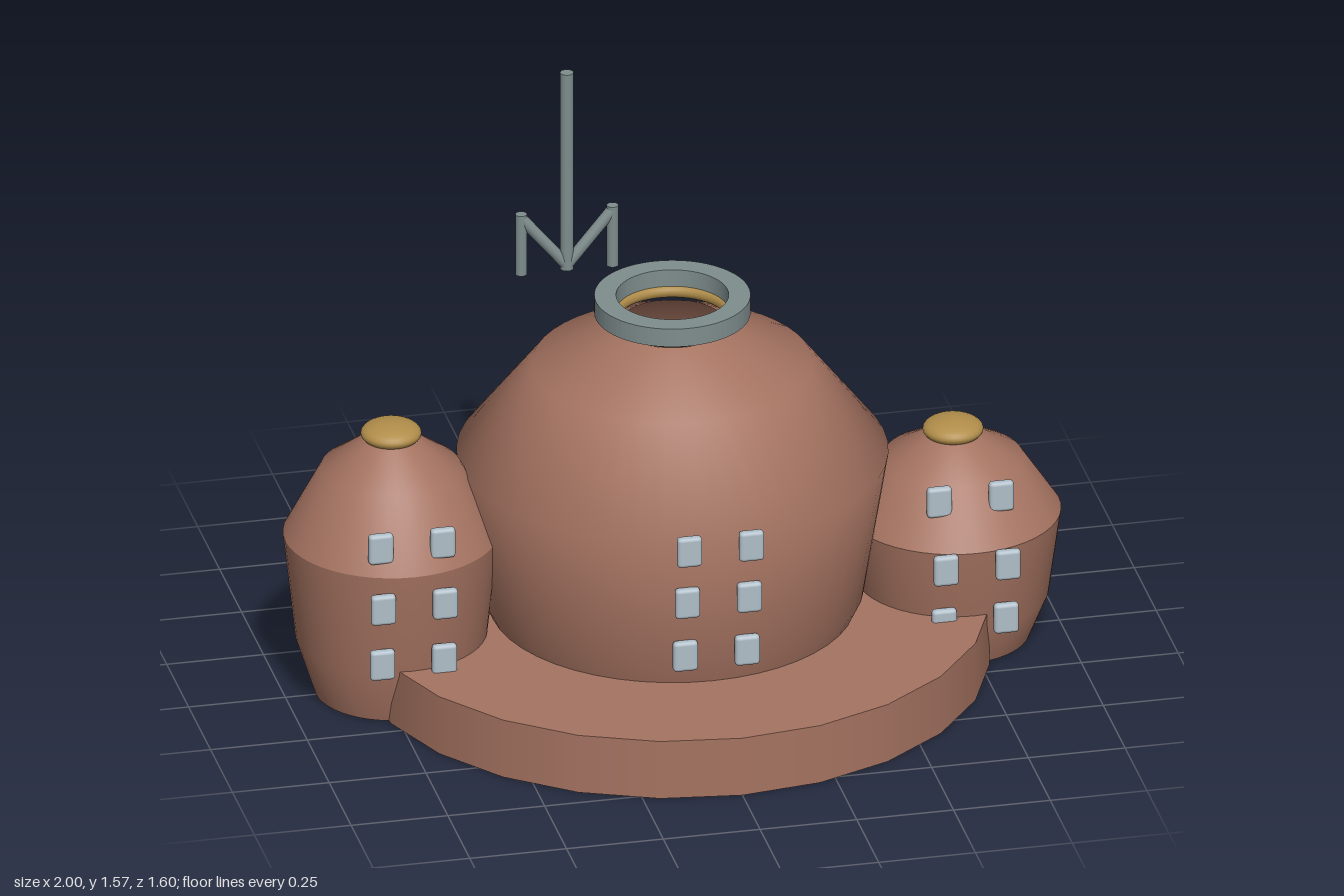
import * as THREE from 'three';
import { RoundedBoxGeometry } from 'three/addons/geometries/RoundedBoxGeometry.js';

const mat = (name, color) => {
  const m = new THREE.MeshStandardMaterial({ color });
  m.name = name;
  return m;
};

export function createModel() {
  const model = new THREE.Group();
  model.name = 'domedBuilding';

  const clay = mat('clay', 0xa57361);
  clay.side = THREE.DoubleSide; // the main dome is an open shell
  const steel = mat('steel', 0x7f8d8d);
  const brass = mat('brass', 0xb08d4a);
  const glass = mat('glass', 0xb0bec8);
  const dark = mat('darkFloor', 0x263232);

  const add = (parent, name, geometry, material, x = 0, y = 0, z = 0) => {
    const mesh = new THREE.Mesh(geometry, material);
    mesh.name = name;
    mesh.position.set(x, y, z);
    parent.add(mesh);
    return mesh;
  };

  // Shared pot-like profile: radius and height as fractions
  const profile = [[0.71, 0], [0.885, 0.213], [1, 0.626], [0.65, 0.886], [0.25, 1]];
  const lathe = (rows, r, h) =>
    new THREE.LatheGeometry(rows.map(([a, b]) => new THREE.Vector2(a * r, b * h)), 48);

  // Two columns of windows; rows are [y, z]
  const pane = new RoundedBoxGeometry(0.064, 0.082, 0.025, 2, 0.01);
  const addWindows = (parent, rows) => {
    for (const [y, z] of rows) {
      for (const x of [-0.08, 0.08]) add(parent, 'window', pane, glass, x, y, z);
    }
  };

  // Foundation
  add(model, 'foundation', new THREE.CylinderGeometry(0.8, 0.8, 0.16, 24), clay, 0, 0.08, 0);

  // Main dome, open at the top
  const main = new THREE.Group();
  main.name = 'mainDome';
  model.add(main);
  add(main, 'domeShell', lathe(profile, 0.545, 0.94), clay);
  addWindows(main, [[0.572, 0.548], [0.417, 0.525], [0.257, 0.5]]);

  // Dark floor with a small slot, seen through the opening
  add(main, 'shaftFloor', new THREE.CylinderGeometry(0.3, 0.3, 0.02, 32), dark, 0, 0.3, 0);
  add(main, 'shaftSlot', new THREE.BoxGeometry(0.02, 0.008, 0.06), steel, 0, 0.314, 0);

  // Brass collar and steel ring over the opening
  const collar = add(main, 'collar', new THREE.TorusGeometry(0.144, 0.012, 10, 48), brass, 0, 0.961, 0);
  collar.rotation.x = Math.PI / 2;
  collar.scale.z = 1.3;
  const ringShape = new THREE.Shape().absarc(0, 0, 0.197, 0, Math.PI * 2, false);
  ringShape.holes.push(new THREE.Path().absarc(0, 0, 0.142, 0, Math.PI * 2, true));
  const ringGeo = new THREE.ExtrudeGeometry(ringShape, { depth: 0.05, bevelEnabled: false, curveSegments: 40 });
  ringGeo.rotateX(-Math.PI / 2);
  add(main, 'topRing', ringGeo, steel, 0, 0.972, 0);

  // Side towers, with a sharp edge at the widest row
  const addTower = (name, x, h, rows) => {
    const tower = new THREE.Group();
    tower.name = name;
    tower.position.x = x;
    model.add(tower);
    add(tower, 'towerWall', lathe(profile.slice(0, 3), 0.273, h), clay);
    add(tower, 'towerRoof', lathe(profile.slice(2), 0.273, h), clay);
    const floor = add(tower, 'towerFloor', new THREE.CircleGeometry(0.71 * 0.273, 48), clay);
    floor.rotation.x = Math.PI / 2;
    const cap = add(tower, 'towerCap', new THREE.SphereGeometry(0.077, 32, 16), brass, 0, h + 0.014, 0);
    cap.scale.y = 0.4;
    addWindows(tower, rows);
  };
  addTower('rightTower', -0.727, 0.7, [[0.51, 0.237], [0.353, 0.266], [0.193, 0.255]]);
  addTower('leftTower', 0.725, 0.555, [[0.465, 0.197], [0.31, 0.275], [0.15, 0.253]]);

  // Antenna: a mast rising from a zigzag of rods
  const antenna = new THREE.Group();
  antenna.name = 'antenna';
  antenna.position.set(-0.223, 0, -0.22);
  model.add(antenna);
  const rod = (name, x1, y1, x2, y2, r) => {
    const len = Math.hypot(x2 - x1, y2 - y1);
    const m = add(antenna, name, new THREE.CylinderGeometry(r, r, len, 16), steel, (x1 + x2) / 2, (y1 + y2) / 2, 0);
    m.rotation.z = -Math.atan2(x2 - x1, y2 - y1);
  };
  rod('mast', 0, 1.015, 0, 1.565, 0.017);
  for (const s of [-1, 1]) {
    rod('sideRod', s * 0.118, 1.012, s * 0.118, 1.18, 0.015);
    rod('diagonalRod', s * 0.118, 1.168, 0, 1.025, 0.015);
  }

  return model;
}
